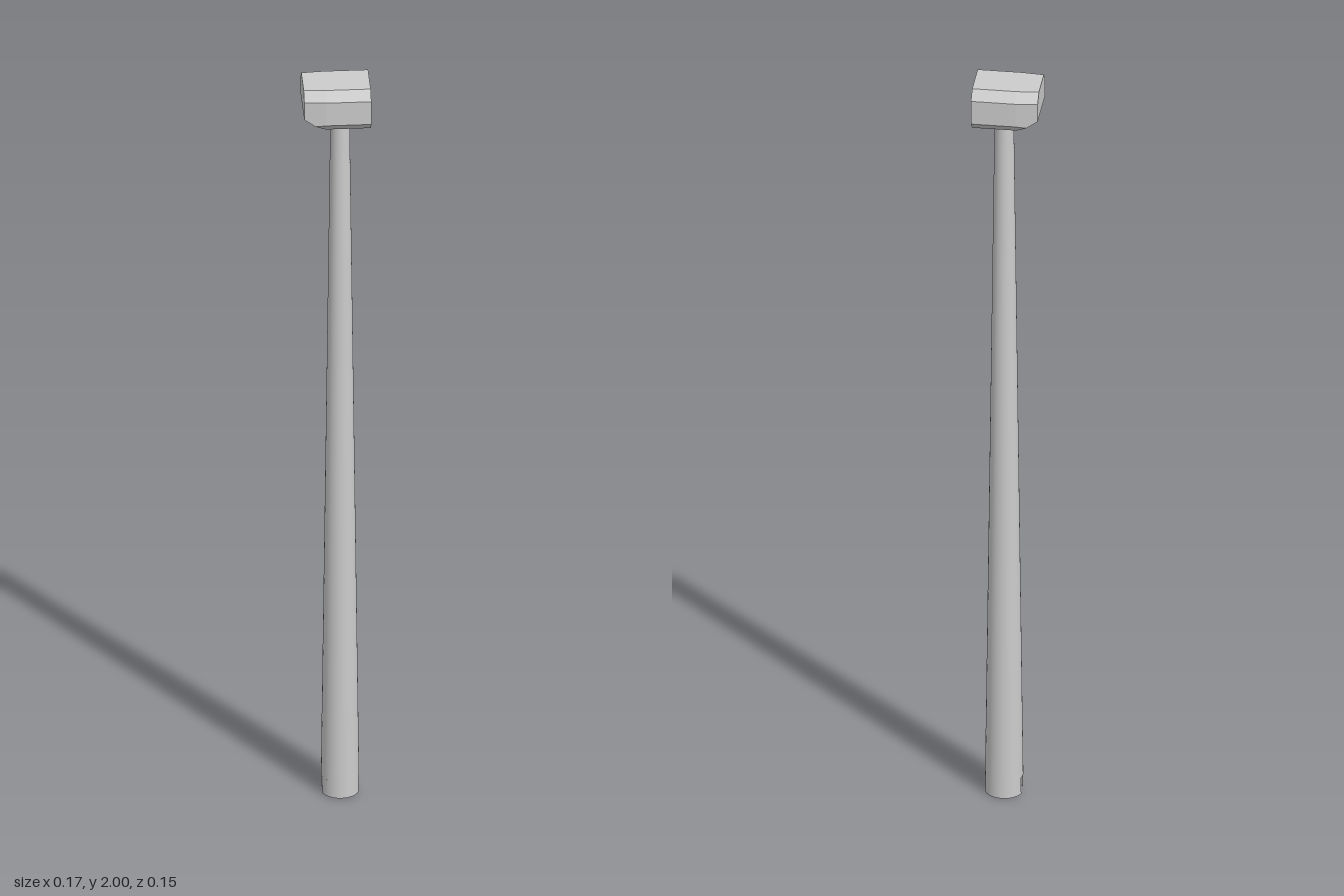
import * as THREE from 'three';

const POLE_X = 0.01, R_BASE = 0.048, R_TOP = 0.024;
const NECK_Y = 1.89, SLOT_Y = 0.045, SLOT_HALF = 0.017;

const poleRadius = (y) => R_BASE + (R_TOP - R_BASE) * (y / NECK_Y);

// Tapered open shell of the pole between two heights, over part of a turn
function poleShell(name, y0, y1, start, length, material) {
  const geo = new THREE.CylinderGeometry(
    poleRadius(y1), poleRadius(y0), y1 - y0, Math.round((32 * length) / (Math.PI * 2)), 1, true, start, length);
  const mesh = new THREE.Mesh(geo, material);
  mesh.position.set(POLE_X, (y0 + y1) / 2, 0);
  mesh.name = name;
  return mesh;
}

// Eight-sided cross-section of the head: half widths and heights
function section(x, side, flat, lowFlat, topChamfer, lowChamfer, bottom) {
  const zOff = -0.0015;
  return [
    [-flat, 2], [flat, 2], [side, topChamfer], [side, lowChamfer],
    [lowFlat, bottom], [-lowFlat, bottom], [-side, lowChamfer], [-side, topChamfer],
  ].map(([z, y]) => new THREE.Vector3(x, y, z + zOff));
}

// Flat-sided skin through the sections, capped at both ends
function loft(sections) {
  const points = [];
  const n = sections[0].length;
  for (let i = 0; i < sections.length - 1; i++) {
    for (let j = 0; j < n; j++) {
      const k = (j + 1) % n;
      const a = sections[i][j], b = sections[i][k], c = sections[i + 1][k], d = sections[i + 1][j];
      points.push(a, d, c, a, c, b);
    }
  }
  const first = sections[0], last = sections[sections.length - 1];
  for (let j = 1; j < n - 1; j++) {
    points.push(first[0], first[j], first[j + 1]);
    points.push(last[0], last[j + 1], last[j]);
  }
  const geo = new THREE.BufferGeometry().setFromPoints(points);
  geo.computeVertexNormals();
  return geo;
}

export function createModel() {
  const model = new THREE.Group();
  model.name = 'tower';
  const poleMaterial = new THREE.MeshStandardMaterial({ color: 0xcccccc, side: THREE.DoubleSide });
  const headMaterial = new THREE.MeshStandardMaterial({ color: 0xcccccc, flatShading: true });

  // Hollow tapered pole, with a doorway slot left open on each side of its foot
  model.add(poleShell('pole', SLOT_Y, NECK_Y, 0, Math.PI * 2, poleMaterial));
  const slotAngle = Math.asin(SLOT_HALF / R_BASE);
  const arc = Math.PI - 2 * slotAngle;
  model.add(poleShell('frontFoot', 0, SLOT_Y, -arc / 2, arc, poleMaterial));
  model.add(poleShell('backFoot', 0, SLOT_Y, Math.PI - arc / 2, arc, poleMaterial));

  // Chamfered head, narrowing and rising underneath towards its right end
  const head = new THREE.Mesh(loft([
    section(0.083, 0.0735, 0.05, 0.05, 1.977, 1.913, NECK_Y),
    section(-0.028, 0.0735, 0.05, 0.05, 1.977, 1.913, NECK_Y),
    section(-0.055, 0.071, 0.048, 0.071, 1.977, 1.91, 1.91),
    section(-0.083, 0.068, 0.0455, 0.068, 1.977, 1.929, 1.929),
  ]), headMaterial);
  head.name = 'head';
  model.add(head);

  return model;
}
